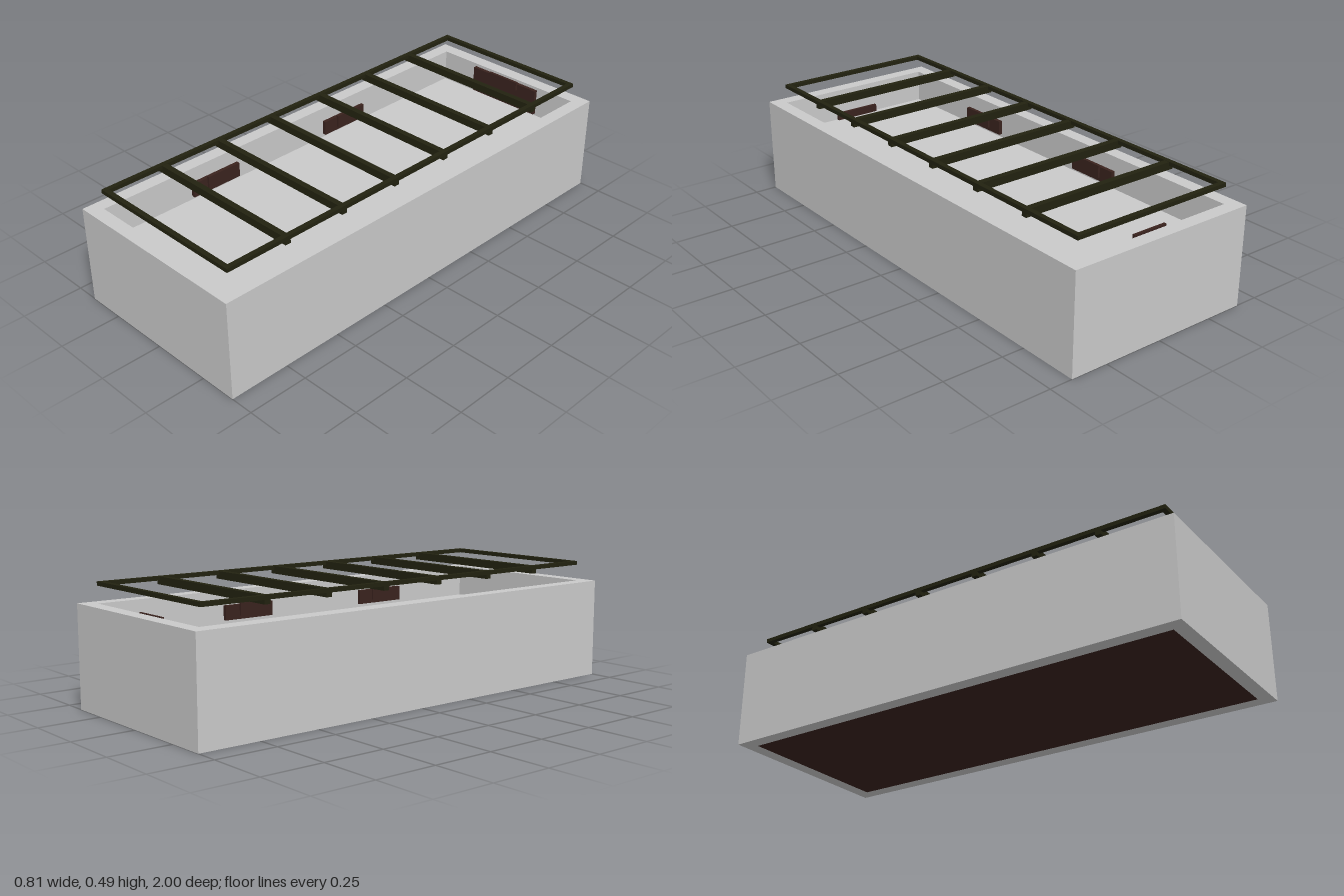
import * as THREE from 'three';

const stone = new THREE.MeshStandardMaterial({ color: 0xcacaca });
stone.name = 'paleGrey';
const iron = new THREE.MeshStandardMaterial({ color: 0x222210 });
iron.name = 'darkOlive';
const wood = new THREE.MeshStandardMaterial({ color: 0x3a231e });
wood.name = 'darkBrown';

// Box given by its minimum and maximum corners
function block(parent, name, material, min, max) {
  const size = max.map((v, i) => v - min[i]);
  const mesh = new THREE.Mesh(new THREE.BoxGeometry(...size), material);
  mesh.position.set(...max.map((v, i) => (v + min[i]) / 2));
  mesh.name = name;
  parent.add(mesh);
  return mesh;
}

function rectangle(Type, hx, hz) {
  const r = new Type();
  r.moveTo(-hx, -hz);
  r.lineTo(hx, -hz);
  r.lineTo(hx, hz);
  r.lineTo(-hx, hz);
  r.closePath();
  return r;
}

// Upright rectangular ring between two heights
function ring(parent, name, material, hx, hz, border, y0, y1) {
  const shape = rectangle(THREE.Shape, hx, hz);
  shape.holes.push(rectangle(THREE.Path, hx - border, hz - border));
  const geometry = new THREE.ExtrudeGeometry(shape, { depth: y1 - y0, bevelEnabled: false });
  geometry.rotateX(-Math.PI / 2);
  const mesh = new THREE.Mesh(geometry, material);
  mesh.position.y = y0;
  mesh.name = name;
  parent.add(mesh);
}

export function createModel() {
  const model = new THREE.Group();
  model.name = 'slattedTrough';

  // Trough: walls, raised floor and base panel
  const trough = new THREE.Group();
  trough.name = 'trough';
  model.add(trough);
  ring(trough, 'walls', stone, 0.405, 1, 0.056, 0, 0.405);
  block(trough, 'floor', stone, [-0.35, 0.003, -0.945], [0.35, 0.27, 0.945]);
  block(trough, 'basePanel', wood, [-0.349, 0, -0.944], [0.349, 0.003, 0.944]);

  // Floating frame with cross slats
  const rack = new THREE.Group();
  rack.name = 'rack';
  model.add(rack);
  ring(rack, 'frame', iron, 0.35, 0.945, 0.02, 0.472, 0.488);
  for (let i = 0; i < 6; i++) {
    const z = -0.675 + i * 0.27;
    block(rack, 'slat', iron, [-0.35, 0.456, z - 0.012], [0.35, 0.487, z + 0.012]);
  }

  // End plates on the inner walls
  block(model, 'backPlate', wood, [-0.17, 0.28, -0.945], [0.17, 0.392, -0.928]);
  block(model, 'backPad', wood, [-0.075, 0.365, -0.93], [0.075, 0.403, -0.918]);
  block(model, 'frontPlate', wood, [-0.1, 0.27, 0.93], [0.1, 0.302, 0.945]);

  // Pairs of side brackets, each a plate with a smaller raised pad
  for (const side of [-1, 1]) {
    for (const z of [-0.272, 0.432]) {
      const bracket = new THREE.Group();
      bracket.name = side > 0 ? 'leftBracket' : 'rightBracket';
      const span = (a, b) => [Math.min(side * a, side * b), Math.max(side * a, side * b)];
      const [p0, p1] = span(0.333, 0.35);
      const [q0, q1] = span(0.324, 0.334);
      block(bracket, 'bracketPlate', wood, [p0, 0.285, z - 0.115], [p1, 0.345, z + 0.115]);
      block(bracket, 'bracketPad', wood, [q0, 0.3, z - 0.048], [q1, 0.352, z + 0.048]);
      model.add(bracket);
    }
  }
  return model;
}
